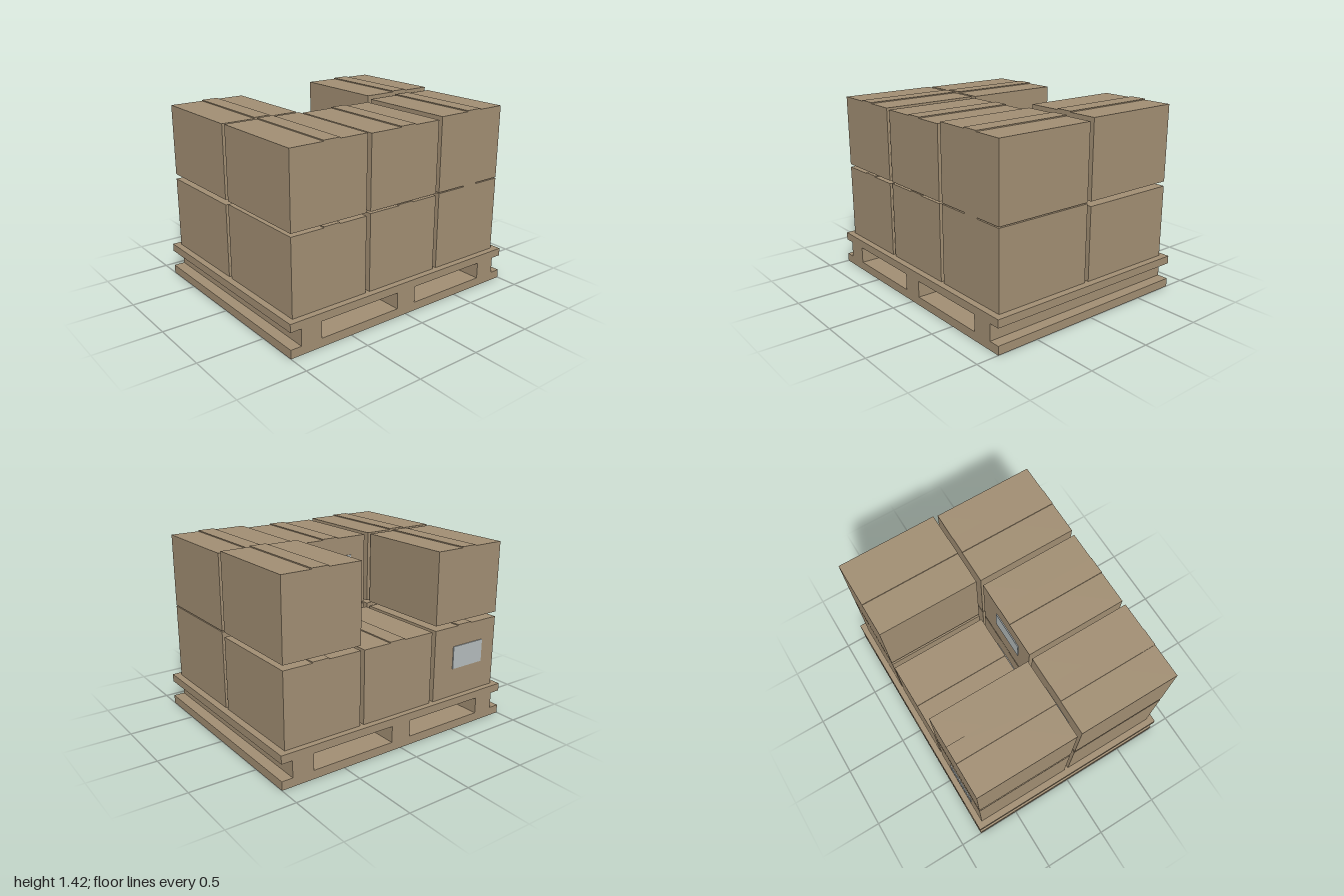
import * as THREE from 'three';

const cardboard = new THREE.MeshStandardMaterial({ color: 0xa08d72 });
cardboard.name = 'cardboard and wood brown';
const paper = new THREE.MeshStandardMaterial({ color: 0xb3babb });
paper.name = 'label grey';

// Box given by its extents on each axis
function block(name, [x0, x1], [y0, y1], [z0, z1], material = cardboard) {
  const mesh = new THREE.Mesh(new THREE.BoxGeometry(x1 - x0, y1 - y0, z1 - z0), material);
  mesh.position.set((x0 + x1) / 2, (y0 + y1) / 2, (z0 + z1) / 2);
  mesh.name = name;
  return mesh;
}

// Pallet: two decks joined by three full-length stringers
function createPallet() {
  const pallet = new THREE.Group();
  pallet.name = 'pallet';
  const depth = [-0.83, 0.83];
  pallet.add(block('bottomDeck', [-1, 1], [0, 0.065], depth));
  pallet.add(block('topDeck', [-1, 1], [0.19, 0.25], depth));
  for (const x of [-0.833, 0, 0.833]) {
    pallet.add(block('stringer', [x - 0.083, x + 0.083], [0.065, 0.19], depth));
  }
  return pallet;
}

// Carton with a raised tape strip on top and an optional label on its back
function createCarton(x, z, bottom, top, labelled) {
  const carton = new THREE.Group();
  carton.name = 'carton';
  const depth = [z - 0.383, z + 0.383];
  carton.add(block('cartonBody', [x - 0.305, x + 0.305], [bottom, top], depth));
  carton.add(block('tapeStrip', [x - 0.048, x + 0.082], [top, top + 0.008], depth));
  if (labelled) {
    const y = bottom + 0.307;
    carton.add(block('label', [x - 0.172, x + 0.122], [y - 0.088, y + 0.088],
      [depth[0] - 0.007, depth[0]], paper));
  }
  return carton;
}

export function createModel() {
  const model = new THREE.Group();
  model.name = 'loadedPallet';
  model.add(createPallet());

  // Carton rows from -x to +x; a top of 0 leaves the place empty
  const columns = [-0.645, 0, 0.642];
  const rows = [
    { z: 0.398, bottom: 0.25, tops: [0.815, 0.824, 0.83], labels: [1, 1, 1] },
    { z: -0.402, bottom: 0.25, tops: [0.8, 0.8, 0.802], labels: [1, 0, 0] },
    { z: 0.398, bottom: 0.838, tops: [1.383, 1.375, 1.394], labels: [1, 1, 1] },
    { z: -0.402, bottom: 0.838, tops: [1.38, 0, 1.415], labels: [0, 0, 0] },
  ];
  for (const { z, bottom, tops, labels } of rows) {
    columns.forEach((x, i) => {
      if (tops[i]) model.add(createCarton(x, z, bottom, tops[i], labels[i]));
    });
  }
  return model;
}
